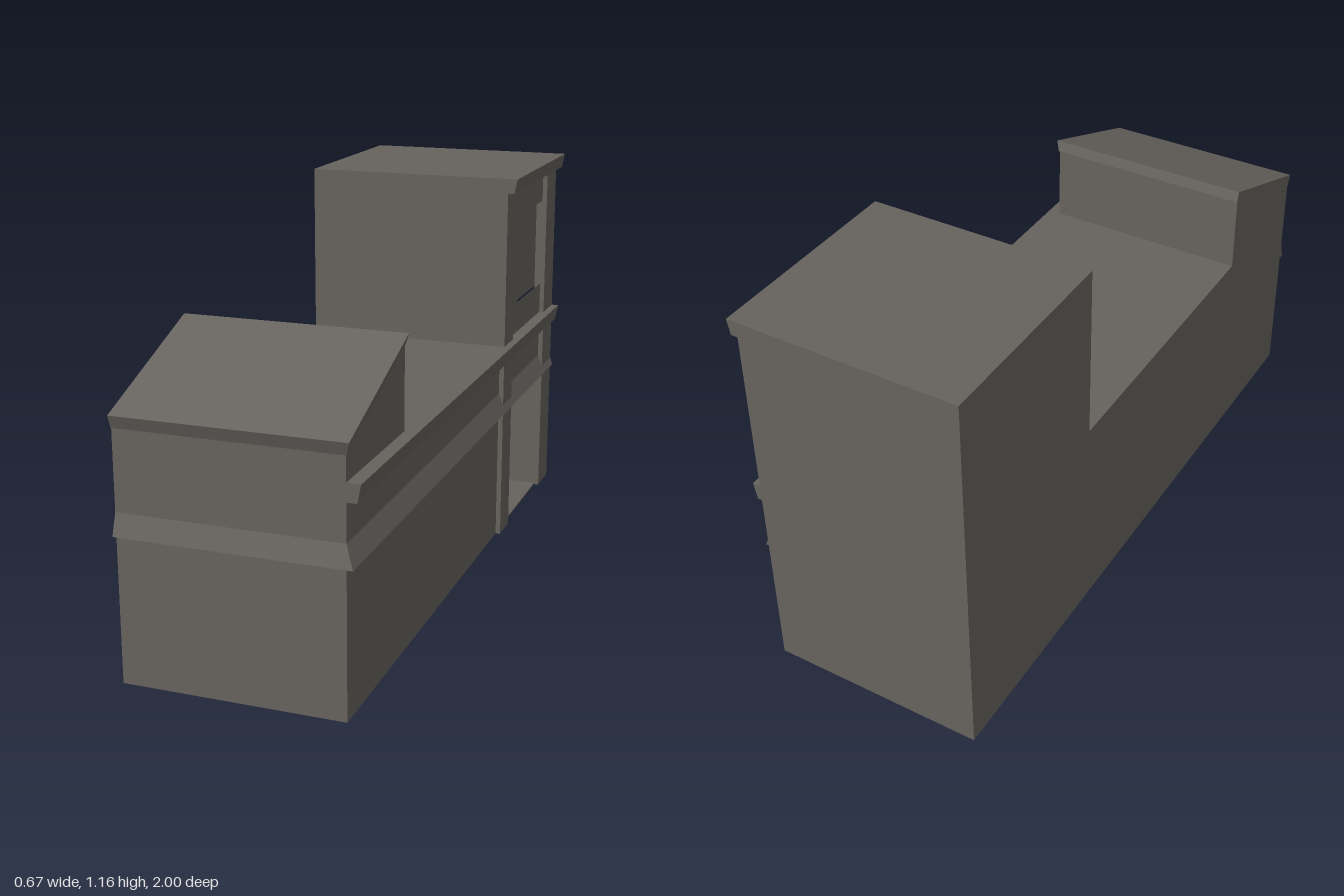
import * as THREE from 'three';

const LEFT = -0.335, WALL = 0.29, RECESS = 0.18, PILASTER = 0.305;

export function createModel() {
  const group = new THREE.Group();
  const stone = new THREE.MeshStandardMaterial({ color: 0x66625d });
  stone.name = 'warm grey stone';

  const add = (name, geometry) => {
    const mesh = new THREE.Mesh(geometry, stone);
    mesh.name = name;
    group.add(mesh);
  };

  // Side profile given as [z, y] points, extruded across x
  const profile = (points) => points.map(([z, y]) => new THREE.Vector2(-z, y));
  const extrude = (name, points, x0, x1, hole) => {
    const shape = new THREE.Shape(profile(points));
    if (hole) shape.holes.push(new THREE.Path(profile(hole)));
    const g = new THREE.ExtrudeGeometry(shape, { depth: x1 - x0, bevelEnabled: false });
    g.rotateY(Math.PI / 2);
    g.translate(x0, 0, 0);
    add(name, g);
  };

  // Box between limits, with optional different right side (x1) and front (z1) at its top
  const block = (name, [x0, x1], [y0, y1], [z0, z1], topX = x1, topZ = z1) => {
    const g = new THREE.BoxGeometry(1, 1, 1).toNonIndexed();
    const p = g.attributes.position;
    for (let i = 0; i < p.count; i++) {
      const top = p.getY(i) > 0;
      p.setXYZ(i,
        p.getX(i) < 0 ? x0 : top ? topX : x1,
        top ? y1 : y0,
        p.getZ(i) < 0 ? z0 : top ? topZ : z1);
    }
    g.computeVertexNormals();
    add(name, g);
  };

  // Main mass: low wing, sloped front block and rear tower
  const upper = [
    [0.98, 0.70], [0.555, 0.865], [0.555, 0.63],
    [-0.375, 0.63], [-0.375, 1.16], [-1, 1.16], [-1, 0],
  ];
  extrude('mainBody', [[0.98, 0], ...upper], LEFT, RECESS);

  // Outer wall layer with the doorway cut from below and a window opening
  extrude('rightWall',
    [[0.98, 0], ...upper, [-0.88, 0], [-0.88, 0.42], [-0.475, 0.42], [-0.475, 0]],
    RECESS, WALL,
    [[-0.475, 0.73], [-0.475, 1.015], [-0.88, 1.015], [-0.88, 0.73]]);
  block('windowPanel', [RECESS, 0.27], [0.72, 1.02], [-0.89, -0.465]);
  block('doorFloor', [RECESS, WALL], [0, 0.005], [-0.88, -0.475]);

  // Pilasters beside the doorway and window
  for (const z of [[-0.475, -0.375], [-1, -0.88]]) {
    block('pilaster', [0.27, PILASTER], [0, 1.13], z);
  }

  // Sloped band around the front and right, and the two cornices
  block('lowerBand', [LEFT, 0.314], [0.415, 0.475], [-1, 1], WALL, 0.98);
  block('deckCornice', [0.2, 0.318], [0.58, 0.63], [-1, 0.98], 0.328);
  block('towerCornice', [0.2, 0.325], [1.115, 1.16], [-1, -0.375], 0.334);

  // Sloped roof slab: flared edges, tilted so its front is lower
  const slab = new THREE.BoxGeometry(1, 1, 1).toNonIndexed();
  const p = slab.attributes.position;
  for (let i = 0; i < p.count; i++) {
    const top = p.getY(i) > 0, front = p.getZ(i) > 0;
    const z = front ? (top ? 0.997 : 0.983) : (top ? 0.565 : 0.553);
    const y = front ? (top ? 0.735 : 0.699) : (top ? 0.897 : 0.866);
    p.setXYZ(i, p.getX(i) < 0 ? LEFT : top ? 0.304 : 0.292, y, z);
  }
  // Back edge leans out at the top
  for (let i = 0; i < p.count; i++) {
    if (p.getZ(i) < 0.6) p.setZ(i, p.getY(i) > 0.88 ? 0.563 : 0.552);
  }
  slab.computeVertexNormals();
  add('slopedRoof', slab);

  return group;
}
